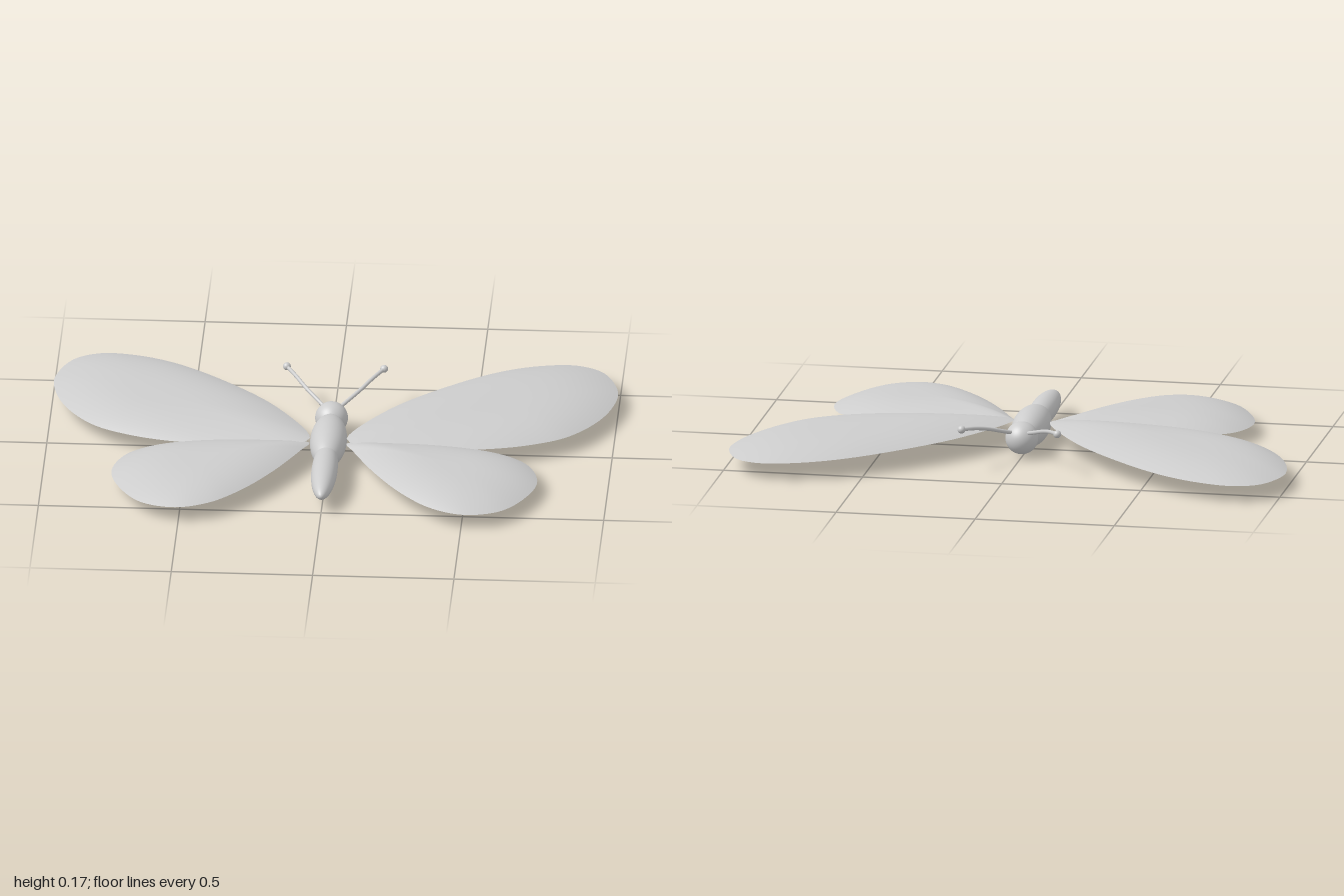
import * as THREE from 'three';

const grey = new THREE.MeshStandardMaterial({ color: 0xcccccc, side: THREE.DoubleSide });
grey.name = 'light grey';

// Wing outlines as [x, z], clockwise seen from above, starting at the root
const foreOutline = [[0.065, 0.07], [0.2, -0.18], [0.41, -0.4], [0.59, -0.535], [0.73, -0.593], [0.845, -0.605],
  [0.935, -0.56], [0.995, -0.42], [0.99, -0.315], [0.94, -0.17], [0.835, -0.03], [0.7, 0.05],
  [0.54, 0.1], [0.35, 0.122], [0.165, 0.12], [0.09, 0.105]];
const hindOutline = [[0.065, 0.09], [0.2, 0.065], [0.38, 0.06], [0.565, 0.085], [0.65, 0.12], [0.715, 0.18],
  [0.753, 0.3], [0.725, 0.42], [0.635, 0.555], [0.51, 0.6], [0.395, 0.565], [0.29, 0.47],
  [0.18, 0.315], [0.09, 0.145]];

// Domed shell: the outline shrinks in rings to a centre while it rises
function wingGeometry(outline, [cx, cz], rimRoot, rimTip, rise, side) {
  const curve = new THREE.CatmullRomCurve3(outline.map(([x, z]) => new THREE.Vector3(x, 0, z)), true);
  const n = 96, rings = 20, pos = [], index = [];
  const edge = curve.getSpacedPoints(n).slice(0, n);
  const tipX = Math.max(...outline.map((p) => p[0]));
  const add = (x, z, t) => {
    const rim = THREE.MathUtils.lerp(rimRoot, rimTip, x / tipX);
    pos.push(side * x, rim + rise * (1 - t ** 3), z);
  };
  const tri = (a, b, c) => (side > 0 ? index.push(a, c, b) : index.push(a, b, c));
  add(cx, cz, 0);
  for (let r = 1; r <= rings; r++) {
    const t = Math.sin((r / rings) * Math.PI / 2);
    for (const p of edge) add(cx + (p.x - cx) * t, cz + (p.z - cz) * t, t);
  }
  for (let i = 0; i < n; i++) {
    const j = (i + 1) % n;
    tri(0, 1 + i, 1 + j);
    for (let r = 0; r < rings - 1; r++) {
      const a = 1 + r * n, b = a + n;
      tri(a + i, b + i, b + j);
      tri(a + i, b + j, a + j);
    }
  }
  const g = new THREE.BufferGeometry();
  g.setAttribute('position', new THREE.Float32BufferAttribute(pos, 3));
  g.setIndex(index);
  g.computeVertexNormals();
  return g;
}

export function createModel() {
  const model = new THREE.Group();
  model.name = 'butterfly';
  const add = (name, geometry) => {
    const mesh = new THREE.Mesh(geometry, grey);
    mesh.name = name;
    model.add(mesh);
  };
  const ellipsoid = (rx, ry, rz, x, y, z) =>
    new THREE.SphereGeometry(1, 40, 28).rotateX(Math.PI / 2).scale(rx, ry, rz).translate(x, y, z);

  // Body
  add('head', ellipsoid(0.058, 0.058, 0.06, 0, 0.07, -0.12));
  add('thorax', ellipsoid(0.065, 0.067, 0.17, 0, 0.067, 0.06));
  add('abdomen', ellipsoid(0.046, 0.046, 0.215, 0, 0.067, 0.297));

  for (const side of [1, -1]) {
    const label = side > 0 ? 'left' : 'right';

    // Wings
    add(label + 'Forewing', wingGeometry(foreOutline, [0.63, -0.2], 0.084, 0.056, 0.045, side));
    add(label + 'Hindwing', wingGeometry(hindOutline, [0.45, 0.3], 0.076, 0.047, 0.046, side));

    // Antenna with a small ball at the tip
    const path = new THREE.CatmullRomCurve3([[0.025, 0.095, -0.15], [0.05, 0.106, -0.18],
      [0.096, 0.127, -0.235], [0.135, 0.143, -0.295], [0.172, 0.152, -0.355]]
      .map(([x, y, z]) => new THREE.Vector3(side * x, y, z)));
    add(label + 'Antenna', new THREE.TubeGeometry(path, 24, 0.007, 10));
    add(label + 'AntennaTip', ellipsoid(0.014, 0.014, 0.014, side * 0.172, 0.152, -0.355));
  }
  return model;
}
